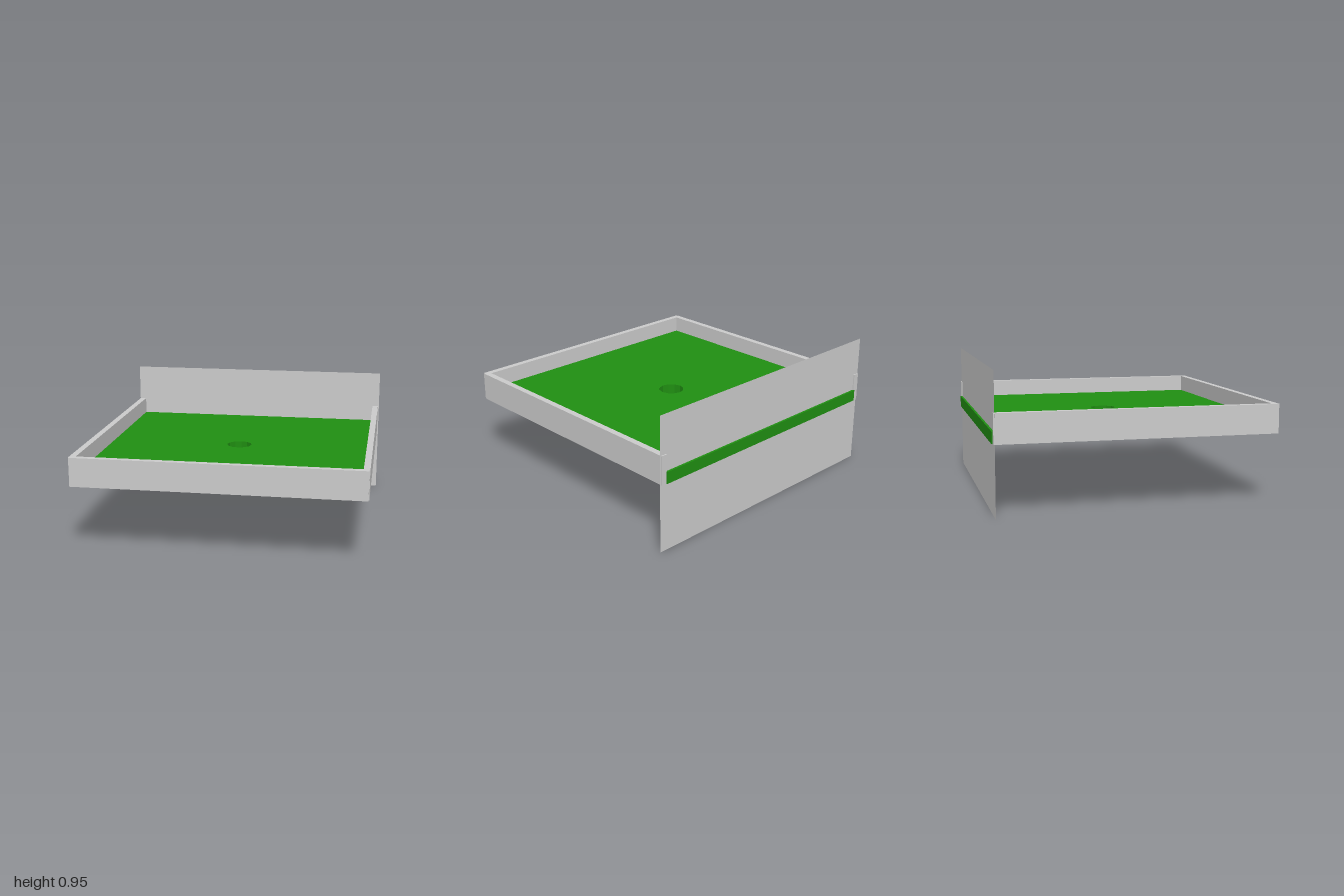
import * as THREE from 'three';

const grey = new THREE.MeshStandardMaterial({ color: 0xcccccc });
const greyThin = new THREE.MeshStandardMaterial({ color: 0xcccccc, side: THREE.DoubleSide });
const green = new THREE.MeshStandardMaterial({ color: 0x208f12, flatShading: true });
const black = new THREE.MeshStandardMaterial({ color: 0x111111 });

// Box given by its lower and upper corner
function box(name, min, max, material) {
  const size = max.map((v, i) => v - min[i]);
  const mesh = new THREE.Mesh(new THREE.BoxGeometry(...size), material);
  mesh.position.set(...max.map((v, i) => (v + min[i]) / 2));
  mesh.name = name;
  return mesh;
}

export function createModel() {
  const group = new THREE.Group();
  group.name = 'puttingTray';

  // Green floor slab with a round hole (shape y becomes -z)
  const floorShape = new THREE.Shape([
    new THREE.Vector2(-0.957, -0.93), new THREE.Vector2(0.953, -0.93),
    new THREE.Vector2(0.953, 0.963), new THREE.Vector2(-0.957, 0.963),
  ]);
  const hole = [];
  for (let i = 0; i < 12; i++) {
    const a = -i / 12 * Math.PI * 2;
    hole.push(new THREE.Vector2(Math.cos(a) * 0.09, 0.008 + Math.sin(a) * 0.09));
  }
  floorShape.holes.push(new THREE.Path(hole));
  const floorGeometry = new THREE.ExtrudeGeometry(floorShape, { depth: 0.082, bevelEnabled: false });
  floorGeometry.rotateX(-Math.PI / 2);
  const floor = new THREE.Mesh(floorGeometry, green);
  floor.position.y = 0.479;
  floor.name = 'greenFloor';
  group.add(floor);

  // Black plate closing the hole from below
  group.add(box('holeBottom', [-0.18, 0.474, -0.187], [0.18, 0.481, 0.18], black));

  // Low rim on three sides
  group.add(box('rimRight', [-0.997, 0.48, -0.956], [-0.953, 0.68, 0.945], grey));
  group.add(box('rimLeft', [0.949, 0.48, -0.956], [0.992, 0.68, 0.945], grey));
  group.add(box('rimFront', [-0.993, 0.48, 0.92], [0.987, 0.68, 0.963], grey));

  // Thin upright sheet across the back
  const back = new THREE.Mesh(new THREE.PlaneGeometry(2, 0.95), greyThin);
  back.position.set(0, 0.475, -0.948);
  back.name = 'backSheet';
  group.add(back);

  return group;
}
